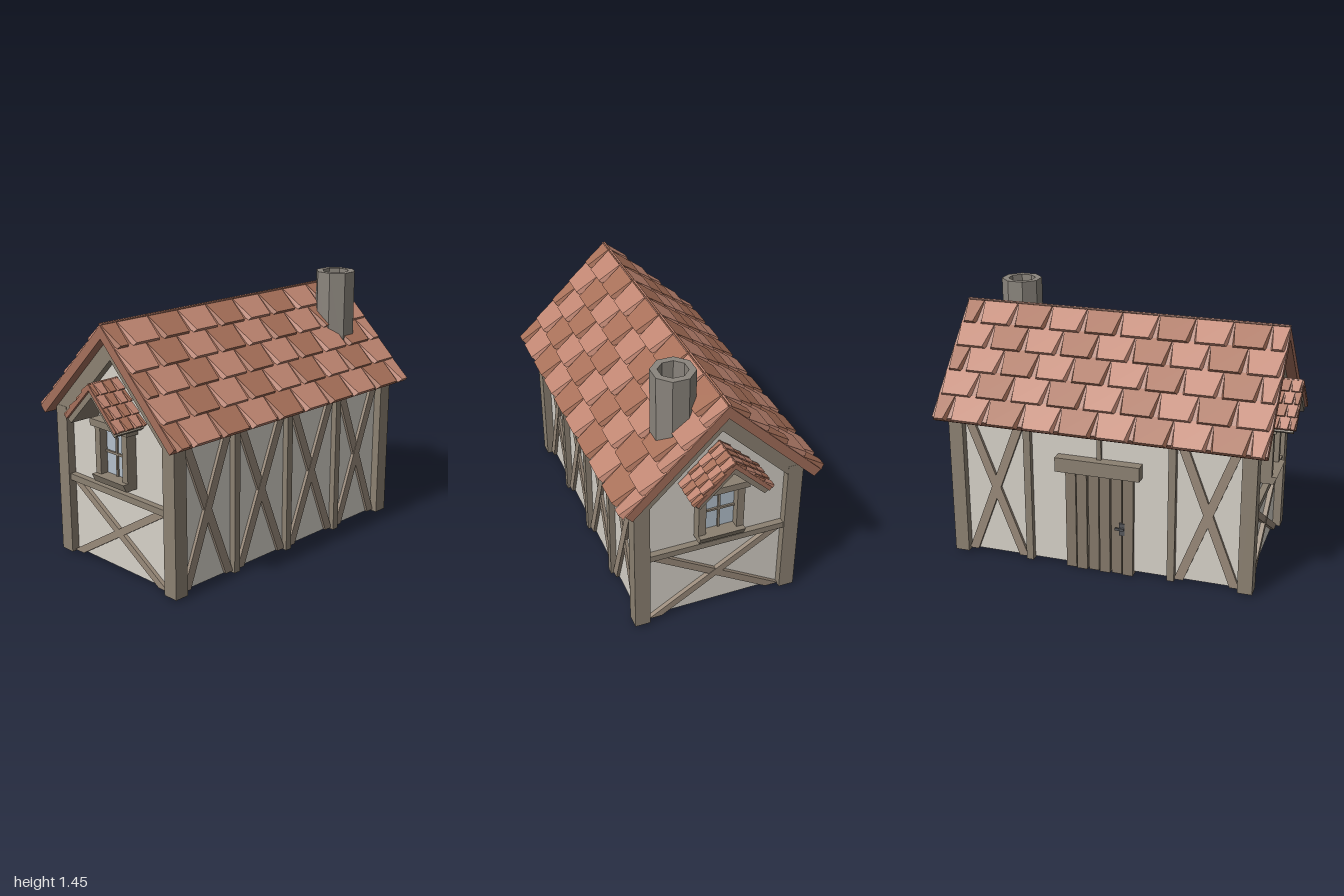
import * as THREE from 'three';

const mat = (color) => new THREE.MeshStandardMaterial({ color, flatShading: true });
const M = {
  plaster: mat(0xd6d1c8), timber: mat(0x8c8172), brace: mat(0x998a7a), door: mat(0x85796a),
  tileLight: mat(0xc08672), tileDark: mat(0xa87059), roof: mat(0xa56f5b),
  stone: mat(0x8b857d), glass: mat(0xb4c0cc), metal: mat(0x55565a),
};
const PITCH = 0.777; // roof angle, about 44.5 degrees

function add(parent, name, geometry, material) {
  const mesh = new THREE.Mesh(geometry, material);
  mesh.name = name;
  parent.add(mesh);
  return mesh;
}

// Box given by its extents on each axis
function box(parent, name, material, [x0, x1], [y0, y1], [z0, z1]) {
  const g = new THREE.BoxGeometry(x1 - x0, y1 - y0, z1 - z0);
  g.translate((x0 + x1) / 2, (y0 + y1) / 2, (z0 + z1) / 2);
  return add(parent, name, g, material);
}

const shapeOf = (pts) => new THREE.Shape(pts.map(([x, y]) => new THREE.Vector2(x, y)));
const extrude = (shape, depth) => new THREE.ExtrudeGeometry(shape, { depth, bevelEnabled: false });

// Extrude a (z, y) outline along x, from x0 to x1
function alongX(pts, x0, x1) {
  return extrude(shapeOf(pts), x1 - x0).rotateY(Math.PI / 2).translate(x0, 0, 0);
}

// Symmetric inverted-V outline: upper and lower apex, outer and inner foot
const chevron = (top, bottom, [zo, yo], [zi, yi]) =>
  [[0, top], [-zo, yo], [-zi, yi], [0, bottom], [zi, yi], [zo, yo]];

// Crossed braces with level-cut ends, lying in the xy plane
function crossBrace(parent, [x0, x1], [y0, y1], w, z, depth) {
  const g = new THREE.Group();
  g.name = 'crossBrace';
  const a = [[x0, y0], [x0 + w, y0], [x1, y1], [x1 - w, y1]];
  const b = [[x1 - w, y0], [x1, y0], [x0 + w, y1], [x0, y1]];
  add(g, 'risingBrace', extrude(shapeOf(a), depth), M.brace).position.z = z;
  add(g, 'fallingBrace', extrude(shapeOf(b), depth - 0.003), M.brace).position.z = z;
  parent.add(g);
}

// Tile: thin at the top end, thick and narrower at the lower end, with sloped flanks
function tileGeometry(x0, x1, len, t, taper) {
  const g = new THREE.BoxGeometry(1, 1, 1);
  const p = g.attributes.position;
  for (let i = 0; i < p.count; i++) {
    const low = p.getZ(i) > 0, up = p.getY(i) > 0, side = Math.sign(p.getX(i));
    const inset = low ? (up ? taper : taper * 0.45) : 0.001;
    const y = up ? (low ? t : t * 0.12) : -0.003;
    p.setXYZ(i, side < 0 ? x0 + inset : x1 - inset, y, low ? len : 0);
  }
  return g;
}

// Gabled roof with staggered tile rows, ridge along x at height apex
function tiledRoof(name, o) {
  const roof = new THREE.Group();
  roof.name = name;
  const { x0, x1, apex, drop, rows, len, width, thick, taper } = o;
  const run = rows * len * Math.cos(PITCH) - 0.012 * len / 0.15;
  const tan = Math.tan(PITCH), d = drop * Math.sin(PITCH) * Math.cos(PITCH);
  const foot = [run, apex - run * tan];
  const under = [run - d, apex - drop - (run - d) * tan];
  add(roof, 'roofSlab', alongX(chevron(apex, apex - drop, foot, under), x0, x1), M.roof);
  for (const turn of [0, Math.PI]) {
    const half = new THREE.Group(), slope = new THREE.Group();
    half.name = turn ? 'backTiles' : 'frontTiles';
    half.rotation.y = turn;
    slope.position.y = apex;
    slope.rotation.x = PITCH;
    half.add(slope);
    const a = turn ? -x1 : x0, b = turn ? -x0 : x1;
    for (let r = 0; r < rows; r++) {
      let i = r;
      for (let x = a - (r % 2 ? 0 : width / 2); x < b - width * 0.1; x += width, i++) {
        const l = Math.max(x, a), e = Math.min(x + width, b);
        const g = tileGeometry(l, e, len * 1.08, thick, Math.min(taper, (e - l) * 0.25));
        add(slope, 'roofTile', g, i % 2 ? M.tileLight : M.tileDark).position.z = (r - 0.08) * len;
      }
    }
    roof.add(half);
  }
  return roof;
}

// Gable end facing +x: frame, braces and window
function gableEnd() {
  const g = new THREE.Group();
  g.name = 'gableEnd';
  add(g, 'gableRafters', alongX(chevron(1.28, 1.16, [0.46, 0.83], [0.375, 0.79]), 0.77, 0.849), M.timber);
  box(g, 'crossBeam', M.timber, [0.78, 0.84], [0.43, 0.465], [-0.38, 0.38]);
  const braces = new THREE.Group();
  braces.name = 'gableBraces';
  braces.rotation.y = Math.PI / 2;
  crossBrace(braces, [-0.378, 0.378], [0.02, 0.435], 0.075, 0.79, 0.04);
  g.add(braces);

  const w = new THREE.Group();
  w.name = 'window';
  box(w, 'windowPane', M.glass, [0.79, 0.82], [0.53, 0.81], [-0.1, 0.1]);
  for (const s of [-1, 1])
    box(w, 'windowJamb', M.timber, [0.79, 0.865], [0.53, 0.81], [s * 0.105 - 0.02, s * 0.105 + 0.02]);
  box(w, 'windowLintel', M.timber, [0.79, 0.88], [0.8, 0.838], [-0.145, 0.145]);
  box(w, 'verticalMullion', M.timber, [0.79, 0.83], [0.53, 0.81], [-0.006, 0.006]);
  box(w, 'horizontalMullion', M.timber, [0.79, 0.83], [0.659, 0.671], [-0.1, 0.1]);
  const sill = alongX([[-0.125, 0], [0.125, 0], [0.125, 1], [-0.125, 1]], 0, 1);
  const p = sill.attributes.position;
  for (let i = 0; i < p.count; i++) { // underside slopes back to the wall
    const out = p.getX(i) > 0.5, up = p.getY(i) > 0.5;
    p.setXY(i, out ? (up ? 0.895 : 0.875) : 0.79, up ? 0.545 : 0.503);
  }
  sill.computeVertexNormals();
  add(w, 'windowSill', sill, M.timber);
  w.position.z = -0.005;
  g.add(w);
  return g;
}

// Small tiled canopy over a window, facing +x
function canopy(apex) {
  const g = new THREE.Group();
  g.name = 'windowCanopy';
  g.add(tiledRoof('canopyRoof', {
    x0: 0.8, x1: 1, apex, drop: 0.03, rows: 4, len: 0.073, width: 0.055, thick: 0.014, taper: 0.009,
  }));
  add(g, 'canopyFrame', alongX(chevron(apex - 0.028, apex - 0.07, [0.195, apex - 0.22],
    [0.17, apex - 0.237]), 0.79, 0.985), M.timber);
  return g;
}

export function createModel() {
  const house = new THREE.Group();
  house.name = 'cottage';
  const body = new THREE.Group();
  body.name = 'body';
  body.position.x = -0.01;
  house.add(body);

  // Plaster walls
  add(body, 'walls', alongX([[-0.415, 0.02], [0.415, 0.02], [0.415, 0.84], [0, 1.25], [-0.415, 0.84]],
    -0.805, 0.805), M.plaster);

  // Corner posts
  for (const x of [-0.81, 0.81]) for (const z of [-0.4175, 0.4175])
    box(body, 'cornerPost', M.timber, [x - 0.04, x + 0.04], [0.012, 0.84], [z - 0.0425, z + 0.0425]);

  // Long-wall posts and braces: four bays in front, two at the back beside the door
  const stations = [-0.79, -0.403, 0, 0.403, 0.79];
  for (const s of [1, -1]) {
    const zs = s > 0 ? [0.39, 0.448] : [-0.448, -0.39];
    for (let i = 1; i < 4; i++)
      if (s > 0 || i !== 2)
        box(body, 'wallPost', M.timber, [stations[i] - 0.02, stations[i] + 0.02], [0.012, 0.84], zs);
    for (let i = 0; i < 4; i++) {
      if (s < 0 && (i === 1 || i === 2)) continue;
      const x0 = i === 0 ? -0.775 : stations[i] + 0.015, x1 = i === 3 ? 0.775 : stations[i + 1] - 0.015;
      crossBrace(body, [x0, x1], [0.02, 0.82], 0.052, s > 0 ? 0.4 : -0.433, 0.033);
    }
  }

  // Gable ends
  for (const turn of [0, Math.PI]) {
    const end = gableEnd();
    end.rotation.y = turn;
    body.add(end);
    const hood = canopy(turn ? 1.063 : 1.078);
    hood.rotation.y = turn;
    house.add(hood);
  }

  // Plank door in the back wall
  const door = new THREE.Group();
  door.name = 'door';
  const planks = 6, pw = 0.39 / planks;
  box(door, 'doorBacking', M.door, [-0.19, 0.19], [0.005, 0.6], [-0.422, -0.38]);
  for (let i = 0; i < planks; i++) {
    const x = -0.195 + i * pw;
    box(door, 'doorPlank', M.door, [x + 0.004, x + pw - 0.004], [0, 0.6], [i % 2 ? -0.432 : -0.44, -0.38]);
  }
  box(door, 'doorLintel', M.timber, [-0.235, 0.235], [0.58, 0.66], [-0.475, -0.4]);
  box(door, 'postAboveDoor', M.timber, [-0.012, 0.012], [0.65, 0.84], [-0.435, -0.4]);
  box(door, 'handlePlate', M.metal, [-0.145, -0.115], [0.24, 0.31], [-0.446, -0.43]);
  box(door, 'doorHandle', M.metal, [-0.145, -0.095], [0.275, 0.288], [-0.462, -0.452]);
  box(door, 'handleStem', M.metal, [-0.142, -0.13], [0.275, 0.288], [-0.455, -0.44]);
  body.add(door);

  // Main roof
  house.add(tiledRoof('mainRoof', {
    x0: -0.915, x1: 0.905, apex: 1.345, drop: 0.068, rows: 5, len: 0.15, width: 0.203, thick: 0.026, taper: 0.027,
  }));

  // Hollow octagonal chimney
  const R = 0.113, r = 0.076;
  const profile = [[r, 1.3], [r, 1.445], [R, 1.445], [R, 1.0], [0.001, 1.0]]
    .reverse().map(([x, y]) => new THREE.Vector2(x, y));
  const chimney = add(house, 'chimney', new THREE.LatheGeometry(profile, 8, Math.PI / 8), M.stone);
  const plug = add(house, 'chimneyFlueFloor', new THREE.CylinderGeometry(r, r, 0.02, 8, 1, false, Math.PI / 8), M.stone);
  chimney.position.set(0.655, 0, 0.185);
  plug.position.set(0.655, 1.3, 0.185);
  return house;
}
